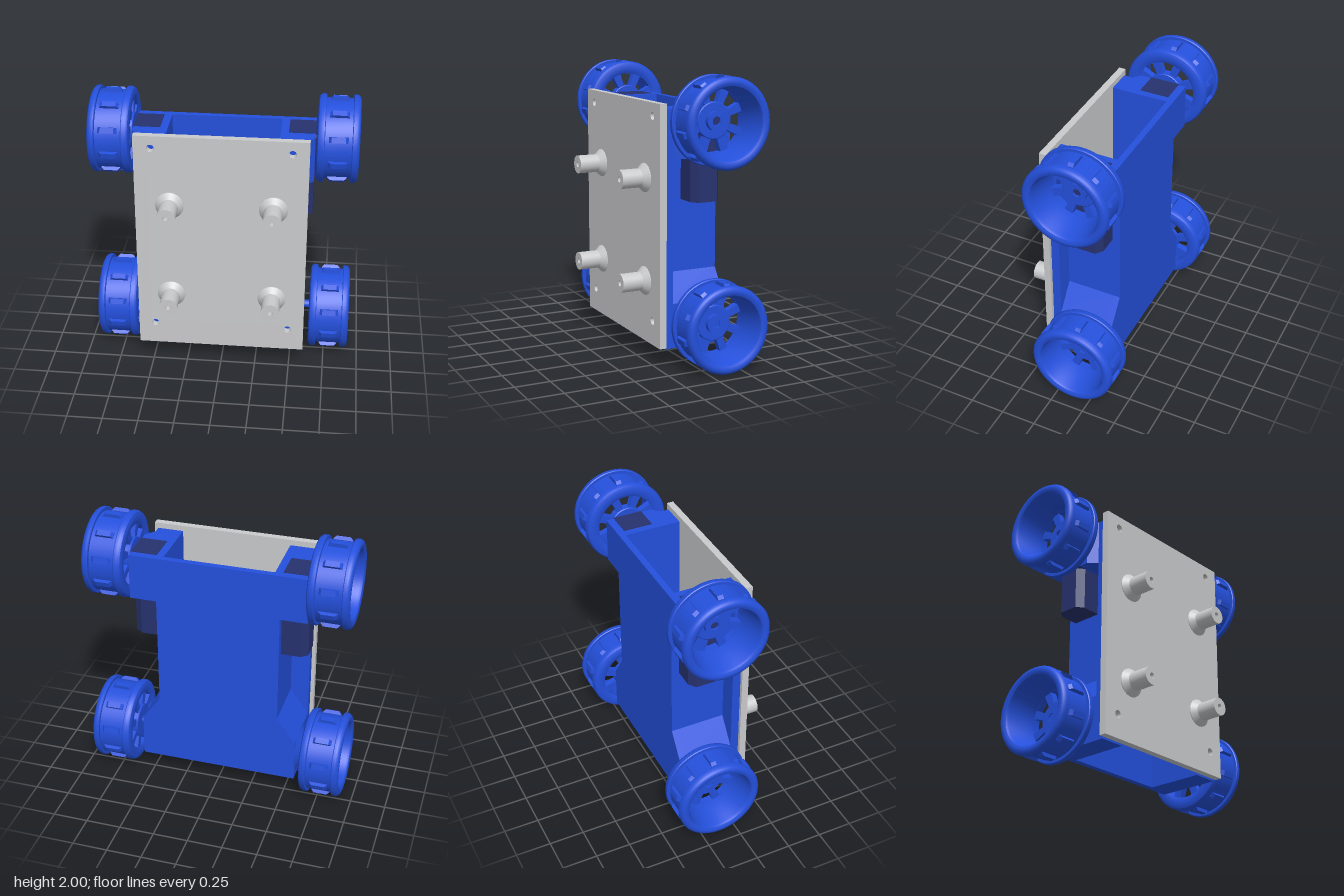
import * as THREE from 'three';
import { toCreasedNormals } from 'three/addons/utils/BufferGeometryUtils.js';

const blue = new THREE.MeshStandardMaterial({ color: 0x2450dc });
blue.name = 'blue plastic';
const grey = new THREE.MeshStandardMaterial({ color: 0xc9cacc });
grey.name = 'light grey';
const navy = new THREE.MeshStandardMaterial({ color: 0x27326e });
navy.name = 'dark navy';

const V = (pts) => pts.map(([x, y]) => new THREE.Vector2(x, y));

function add(parent, name, geometry, material) {
  const mesh = new THREE.Mesh(geometry, material);
  mesh.name = name;
  parent.add(mesh);
  return mesh;
}

const extrude = (shape, depth) =>
  new THREE.ExtrudeGeometry(shape, { depth, bevelEnabled: false, curveSegments: 24 });

// Outline in x, y pushed from z0 to z1
const slab = (pts, z0, z1) => extrude(new THREE.Shape(V(pts)), z1 - z0).translate(0, 0, z0);

// Outline in x, z pushed from y0 to y1
const column = (pts, y0, y1) =>
  extrude(new THREE.Shape(V(pts.map(([x, z]) => [x, -z]))), y1 - y0)
    .rotateX(-Math.PI / 2).translate(0, y0, 0);

const lathe = (pts, segments) =>
  toCreasedNormals(new THREE.LatheGeometry(V(pts), segments), 0.6);

function circleHole(x, y, r) {
  const path = new THREE.Path();
  path.absarc(x, y, r, 0, Math.PI * 2, true);
  return path;
}

// Wheel: local +y is the outward axle direction, inner face at 0
function createWheel(side) {
  const wheel = new THREE.Group();
  const rim = [
    [0.215, 0.01], [0.235, 0], [0.275, 0], [0.295, 0.008], [0.305, 0.025],
    [0.305, 0.05], [0.3, 0.055], [0.28, 0.055], [0.28, 0.238], [0.3, 0.238],
    [0.305, 0.243], [0.305, 0.265], [0.295, 0.282], [0.28, 0.29], [0.262, 0.29],
    [0.245, 0.282], [0.236, 0.265], [0.215, 0.06], [0.215, 0.01],
  ];
  add(wheel, 'rim', lathe(rim, 64), blue);

  // Disc with eight windows between the spokes
  const disc = new THREE.Shape();
  disc.absarc(0, 0, 0.225, 0, Math.PI * 2);
  disc.holes.push(circleHole(0, 0, 0.03));
  for (let i = 0; i < 8; i++) {
    const a = (i * Math.PI) / 4;
    const gap = new THREE.Path();
    gap.absarc(0, 0, 0.214, a - 0.25, a + 0.25, false);
    gap.absarc(0, 0, 0.125, a + 0.2, a - 0.2, true);
    gap.closePath();
    disc.holes.push(gap);
  }
  const spokes = extrude(disc, 0.05).rotateX(-Math.PI / 2).translate(0, 0.012, 0);
  add(wheel, 'spokes', toCreasedNormals(spokes, 0.6), blue);

  const hub = [
    [0.03, 0], [0.12, 0], [0.125, 0.005], [0.125, 0.062], [0.12, 0.067],
    [0.065, 0.067], [0.065, 0.1], [0.03, 0.1], [0.03, 0],
  ];
  add(wheel, 'hub', lathe(hub, 40), blue);

  // Ten chamfered tread bars
  const bar = [[-0.066, 0.27], [0.066, 0.27], [0.066, 0.285], [0.048, 0.305], [-0.048, 0.305], [-0.066, 0.285]];
  for (let i = 0; i < 10; i++) {
    const angle = THREE.MathUtils.degToRad(94 + i * 36);
    const geo = slab(bar, -0.02, 0.02)
      .rotateZ(-Math.PI / 2).rotateY(-Math.PI / 2).translate(0, 0.147, 0);
    add(wheel, 'treadBar', geo, blue).rotation.y = -side * angle;
  }
  wheel.rotation.z = (-side * Math.PI) / 2;
  return wheel;
}

function axle(parent, name, side, x0, x1, y, z, material) {
  const geo = new THREE.CylinderGeometry(0.029, 0.029, x1 - x0, 20).rotateZ(Math.PI / 2);
  add(parent, name, geo, material).position.set((side * (x0 + x1)) / 2, y, z);
}

export function createModel() {
  const model = new THREE.Group();
  model.name = 'wheeledChassis';

  // Front plate with four screw holes
  const outline = new THREE.Shape(V([[-0.6, 0.14], [0.6, 0.14], [0.6, 1.81], [-0.6, 1.81]]));
  for (const x of [-0.48, 0.485]) {
    for (const y of [0.31, 1.72]) outline.holes.push(circleHole(x, y, 0.027));
  }
  add(model, 'frontPlate', extrude(outline, 0.05).translate(0, 0, 0.19), grey);

  // Four studs with flared feet and a small bore
  const stud = [
    [0.1, 0], [0.1, 0.005], [0.065, 0.042], [0.065, 0.19], [0.02, 0.19], [0.02, 0.15], [0, 0.15],
  ];
  for (const x of [-0.357, 0.365]) {
    for (const y of [0.57, 1.29]) {
      add(model, 'stud', lathe(stud, 40).rotateX(Math.PI / 2), grey).position.set(x, y, 0.24);
    }
  }

  // Back panel: wide at the top, waisted in the middle, flared at the foot
  const half = [[0.575, 0.125], [0.575, 0.44], [0.44, 0.63], [0.44, 1.44], [0.63, 1.44], [0.63, 1.77]];
  const mirrored = half.map(([x, y]) => [-x, y]).reverse();
  add(model, 'backPanel', slab([...half, ...mirrored], -0.27, -0.225), blue);

  for (const side of [1, -1]) {
    const flip = (pts) => pts.map(([x, y]) => [x * side, y]);
    const tag = side > 0 ? 'left' : 'right';

    // Side wall with its front flange
    const wall = [[0.39, 0.19], [0.575, 0.19], [0.575, 0.13], [0.44, 0.13], [0.44, -0.226], [0.39, -0.226]];
    add(model, tag + 'SideWall', column(flip(wall), 0.125, 1.77), blue);

    // Upper motor bracket and lower axle block
    const bracket = [[0.39, 0.19], [0.575, 0.19], [0.575, 0.13], [0.63, 0.07], [0.63, -0.27], [0.39, -0.27]];
    add(model, tag + 'MotorBracket', column(flip(bracket), 1.44, 1.77), blue);
    const block = [[0.39, 0.125], [0.575, 0.125], [0.575, 0.44], [0.44, 0.63], [0.39, 0.63]];
    add(model, tag + 'AxleBlock', slab(flip(block), -0.226, 0.19), blue);

    // Motor: square gearbox above, chamfered can below
    const gearbox = [[0.445, 0], [0.634, 0], [0.634, -0.213], [0.445, -0.213]];
    add(model, tag + 'Gearbox', column(flip(gearbox), 1.44, 1.774), navy);
    const can = [[0.44, 0.003], [0.575, 0.003], [0.627, -0.035], [0.627, -0.175], [0.575, -0.213], [0.44, -0.213]];
    add(model, tag + 'MotorCan', column(flip(can), 1.135, 1.44), navy);

    // Axles
    axle(model, tag + 'UpperAxle', side, 0.6, 0.725, 1.698, -0.105, navy);
    axle(model, tag + 'LowerAxle', side, 0.55, 0.725, 0.31, -0.122, blue);

    // Wheels
    const upper = createWheel(side);
    upper.name = tag + 'UpperWheel';
    upper.position.set(side * 0.639, 1.695, -0.105);
    const lower = createWheel(side);
    lower.name = tag + 'LowerWheel';
    lower.position.set(side * 0.633, 0.306, -0.122);
    model.add(upper, lower);
  }

  // Flared boss behind the right lower wheel
  const boss = new THREE.CylinderGeometry(0.045, 0.165, 0.06, 32).rotateZ(Math.PI / 2);
  add(model, 'axleBoss', boss, blue).position.set(-0.604, 0.31, -0.122);

  return model;
}
